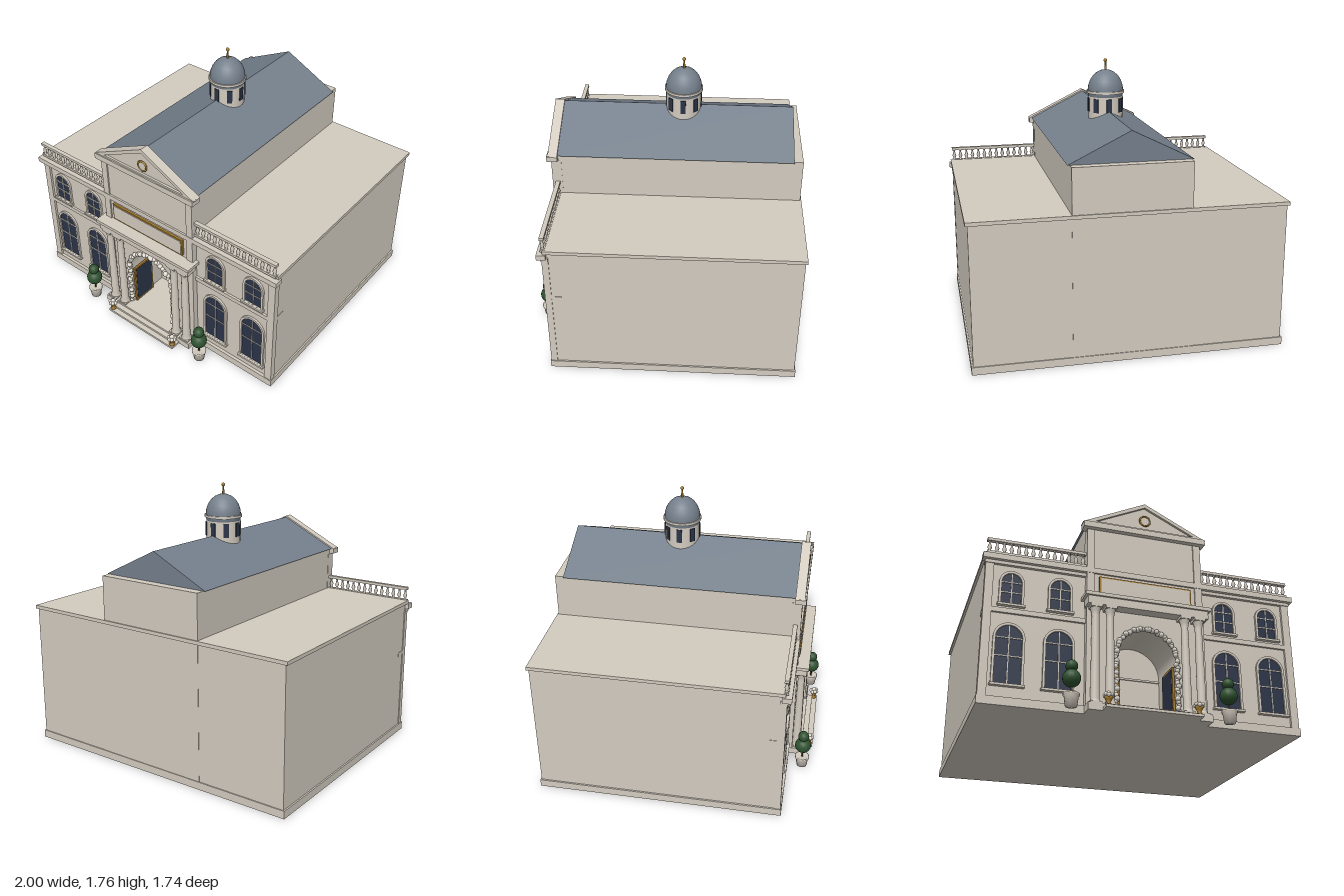
import * as THREE from 'three';

export function createModel() {
  const root = new THREE.Group();
  root.name = 'grandHall';
  const mat = (name, color, side = THREE.FrontSide) => {
    const m = new THREE.MeshStandardMaterial({ color, side });
    m.name = name;
    return m;
  };
  const stone = mat('stone', 0xd3cbbf);
  const slate = mat('slate', 0x75808c);
  const glass = mat('darkGlass', 0x2b3448);
  const gold = mat('gold', 0xa67c2d);
  const leaf = mat('leaf', 0x2f5230);
  const bark = mat('bark', 0x4a3a2a);
  const flower = mat('flower', 0xe2dcd2);

  const add = (name, geo, m, x = 0, y = 0, z = 0, parent = root) => {
    const mesh = new THREE.Mesh(geo, m);
    mesh.name = name;
    mesh.position.set(x, y, z);
    parent.add(mesh);
    return mesh;
  };
  // box given by its limits
  const box = (name, m, x0, x1, y0, y1, z0, z1, parent = root) =>
    add(name, new THREE.BoxGeometry(x1 - x0, y1 - y0, z1 - z0), m,
      (x0 + x1) / 2, (y0 + y1) / 2, (z0 + z1) / 2, parent);
  const mirrorBox = (name, m, x0, x1, ...r) => {
    box(name, m, x0, x1, ...r);
    box(name, m, -x1, -x0, ...r);
  };
  const extrude = (shape, depth) =>
    new THREE.ExtrudeGeometry(shape, { depth, bevelEnabled: false, curveSegments: 20 });
  const lathe = (pts, seg = 16) =>
    new THREE.LatheGeometry(pts.map(p => new THREE.Vector2(p[0], p[1])), seg);
  const ball = (r, w = 10, h = 8) => new THREE.SphereGeometry(r, w, h);

  // round-headed outline
  const arch = (P, half, y0, spring) => {
    const p = new P();
    p.moveTo(-half, y0);
    p.lineTo(half, y0);
    p.lineTo(half, spring);
    p.absarc(0, spring, half, 0, Math.PI, false);
    p.lineTo(-half, y0);
    return p;
  };
  const polygon = (P, pts) => new P().setFromPoints(pts.map(p => new THREE.Vector2(p[0], p[1])));

  // wings, plinth, belt course, cornices and corner pilasters
  mirrorBox('wing', stone, 0.36, 0.975, 0, 0.94, -0.865, 0.685);
  mirrorBox('plinth', stone, 0.36, 0.985, 0, 0.05, -0.872, 0.705);
  box('rearPlinth', stone, -0.37, 0.37, 0, 0.05, -0.872, -0.8);
  mirrorBox('beltCourse', stone, 0.36, 0.978, 0.565, 0.595, 0.6, 0.7);
  mirrorBox('wingRoof', stone, 0.36, 0.99, 0.93, 0.953, -0.875, 0.69);
  box('rearRoofEdge', stone, -0.37, 0.37, 0.93, 0.953, -0.875, -0.8);
  box('cornice', stone, -1, 1, 0.895, 0.93, 0.67, 0.727);
  mirrorBox('corniceBed', stone, 0.36, 0.985, 0.875, 0.895, 0.66, 0.705);
  mirrorBox('cornerPilaster', stone, 0.93, 0.98, 0.05, 0.895, 0.66, 0.7);

  // central block with an arched entrance
  const front = polygon(THREE.Shape, [[-0.37, 0], [0.37, 0], [0.37, 1.24], [-0.37, 1.24]]);
  front.holes.push(arch(THREE.Path, 0.185, 0.045, 0.375));
  add('entranceWall', extrude(front, 0.295), stone, 0, 0, 0.42);
  box('centralBlock', stone, -0.37, 0.37, 0, 1.24, -0.867, 0.42);
  mirrorBox('centralPilaster', stone, 0.325, 0.372, 0, 1.2, 0.66, 0.724);
  box('innerLintel', stone, -0.184, 0.184, 0.35, 0.362, 0.42, 0.428);
  for (const s of [-1, 1]) {
    const door = new THREE.Group();
    door.name = 'openDoor';
    door.position.set(s * 0.17, 0, 0.62);
    root.add(door);
    box('doorFrame', gold, -0.007, 0.007, 0.05, 0.35, -0.085, 0.085, door);
    box('doorLeaf', glass, -0.009, 0.009, 0.062, 0.338, -0.074, 0.074, door);
  }

  // gold-framed panel above the portico
  box('panelFrame', gold, -0.295, 0.295, 0.752, 0.874, 0.71, 0.73);
  box('panel', stone, -0.284, 0.284, 0.763, 0.863, 0.71, 0.734);

  // roof and pediment
  add('roof', extrude(polygon(THREE.Shape, [[-0.385, 1.24], [0.385, 1.24], [0, 1.43]]), 1.49), slate, 0, 0, -0.81);
  add('tympanum', extrude(polygon(THREE.Shape, [[-0.39, 1.24], [0.39, 1.24], [0, 1.43]]), 0.045), stone, 0, 0, 0.68);
  const rake = polygon(THREE.Shape, [[-0.405, 1.24], [0.405, 1.24], [0, 1.44]]);
  rake.holes.push(polygon(THREE.Path, [[-0.325, 1.255], [0, 1.413], [0.325, 1.255]]));
  add('pedimentMoulding', extrude(rake, 0.06), stone, 0, 0, 0.68);
  box('pedimentBase', stone, -0.4, 0.4, 1.205, 1.243, 0.68, 0.748);
  add('medallionRing', new THREE.TorusGeometry(0.033, 0.006, 8, 28), gold, 0, 1.315, 0.735);
  add('medallion', new THREE.CylinderGeometry(0.032, 0.032, 0.02, 28).rotateX(Math.PI / 2), stone, 0, 1.315, 0.727);

  // cupola
  const cupola = new THREE.Group();
  cupola.name = 'cupola';
  cupola.position.z = -0.1;
  root.add(cupola);
  const drumR = 0.112;
  add('drum', new THREE.CylinderGeometry(drumR, drumR, 0.2, 32), stone, 0, 1.445, 0, cupola);
  add('drumCornice', new THREE.CylinderGeometry(0.123, 0.123, 0.016, 32), stone, 0, 1.55, 0, cupola);
  const dome = ball(0.116, 32, 12);
  dome.scale(1, 1.17, 1);
  add('dome', dome, slate, 0, 1.556, 0, cupola);
  add('finialRod', new THREE.CylinderGeometry(0.005, 0.008, 0.07, 8), gold, 0, 1.715, 0, cupola);
  add('finialBall', ball(0.012), gold, 0, 1.751, 0, cupola);
  for (let i = 0; i < 8; i++) {
    const a = i * Math.PI / 4;
    const w = add('drumWindow', new THREE.BoxGeometry(0.034, 0.09, 0.008), glass,
      Math.sin(a) * drumR, 1.465, Math.cos(a) * drumR, cupola);
    w.rotation.y = a;
  }

  // arched windows
  const addWindow = (x, half, y0, spring, barY) => {
    const g = new THREE.Group();
    g.name = 'archedWindow';
    g.position.set(x, 0, 0.685);
    root.add(g);
    add('pane', extrude(arch(THREE.Shape, half, y0, spring), 0.004), glass, 0, 0, 0, g);
    const frame = arch(THREE.Shape, half + 0.015, y0, spring);
    frame.holes.push(arch(THREE.Path, half, y0 + 0.001, spring));
    add('surround', extrude(frame, 0.014), stone, 0, 0, 0, g);
    box('mullion', stone, -0.003, 0.003, y0, spring + half, 0, 0.009, g);
    for (const y of [barY, spring]) box('glazingBar', stone, -half, half, y - 0.003, y + 0.003, 0, 0.009, g);
    box('sill', stone, -half - 0.022, half + 0.022, y0 - 0.014, y0, -0.01, 0.025, g);
  };
  for (const x of [-0.818, -0.525, 0.525, 0.818]) {
    addWindow(x, 0.078, 0.13, 0.412, 0.3);
    addWindow(x, 0.06, 0.625, 0.765, 0.7);
  }

  // balustrades
  const baluster = lathe([[0.012, 0], [0.007, 0.01], [0.014, 0.028], [0.007, 0.05], [0.006, 0.06], [0.012, 0.072]], 8);
  mirrorBox('balustradeRail', stone, 0.372, 0.978, 1.024, 1.042, 0.676, 0.704);
  mirrorBox('balustradeBase', stone, 0.372, 0.978, 0.94, 0.956, 0.676, 0.704);
  for (const s of [-1, 1])
    for (let i = 0; i < 14; i++) add('baluster', baluster, stone, s * (0.39 + i * 0.044), 0.954, 0.69);

  // steps and portico
  box('lowerStep', stone, -0.29, 0.29, 0, 0.016, 0.7, 0.86);
  box('middleStep', stone, -0.27, 0.27, 0.016, 0.031, 0.7, 0.825);
  box('porticoFloor', stone, -0.375, 0.375, 0, 0.045, 0.7, 0.79);
  box('entablature', stone, -0.38, 0.38, 0.66, 0.712, 0.7, 0.785);
  box('entablatureCap', stone, -0.397, 0.397, 0.71, 0.732, 0.69, 0.798);
  const column = lathe([[0.034, 0], [0.034, 0.015], [0.027, 0.03], [0.025, 0.3], [0.022, 0.55], [0.026, 0.575], [0.033, 0.6]], 20);
  for (const x of [-0.325, -0.235, 0.235, 0.325]) {
    add('column', column, stone, x, 0.045, 0.75);
    box('capitalSlab', stone, x - 0.035, x + 0.035, 0.644, 0.661, 0.715, 0.785);
    box('columnFoot', stone, x - 0.035, x + 0.035, 0.045, 0.055, 0.715, 0.785);
  }

  // flower garland around the entrance
  const R = 0.19, leg = 0.31, total = 2 * leg + Math.PI * R, count = 62;
  for (let i = 0; i <= count; i++) {
    const d = total * i / count;
    const a = Math.PI - (d - leg) / R;
    const [x, y] = d < leg ? [-R, 0.065 + d]
      : d > total - leg ? [R, 0.065 + total - d]
        : [R * Math.cos(a), 0.375 + R * Math.sin(a)];
    const r = 0.013 + 0.005 * Math.abs(Math.sin(i * 2.3));
    add('garlandBloom', ball(r, 8, 6), flower, x + 0.005 * Math.sin(i * 4.1), y, 0.724 + 0.005 * Math.cos(i * 3.7));
  }

  // topiaries and gold flower vases
  const pot = lathe([[0, 0], [0.034, 0], [0.042, 0.06], [0.047, 0.062], [0.047, 0.074], [0.04, 0.074], [0, 0.068]], 20);
  const vase = lathe([[0, 0], [0.02, 0], [0.02, 0.006], [0.009, 0.014], [0.02, 0.035], [0.026, 0.05], [0, 0.048]], 16);
  for (const s of [-1, 1]) {
    const tree = new THREE.Group();
    tree.name = 'topiary';
    tree.position.set(s * 0.475, 0, 0.8);
    root.add(tree);
    add('pot', pot, stone, 0, 0, 0, tree);
    add('trunk', new THREE.CylinderGeometry(0.006, 0.006, 0.17, 8), bark, 0, 0.145, 0, tree);
    add('lowerFoliage', ball(0.053, 18, 12), leaf, 0, 0.166, 0, tree);
    add('upperFoliage', ball(0.036, 16, 10), leaf, 0, 0.24, 0, tree);

    const bouquet = new THREE.Group();
    bouquet.name = 'flowerVase';
    bouquet.position.set(s * 0.27, 0.016, 0.835);
    root.add(bouquet);
    add('vase', vase, gold, 0, 0, 0, bouquet);
    add('bloom', ball(0.016, 8, 6), flower, 0, 0.07, 0, bouquet);
    for (let i = 0; i < 7; i++) {
      const a = i * Math.PI * 2 / 7;
      add('bloom', ball(0.013, 8, 6), flower, 0.021 * Math.cos(a), 0.056 + 0.006 * (i % 2), 0.021 * Math.sin(a), bouquet);
    }
  }
  return root;
}
